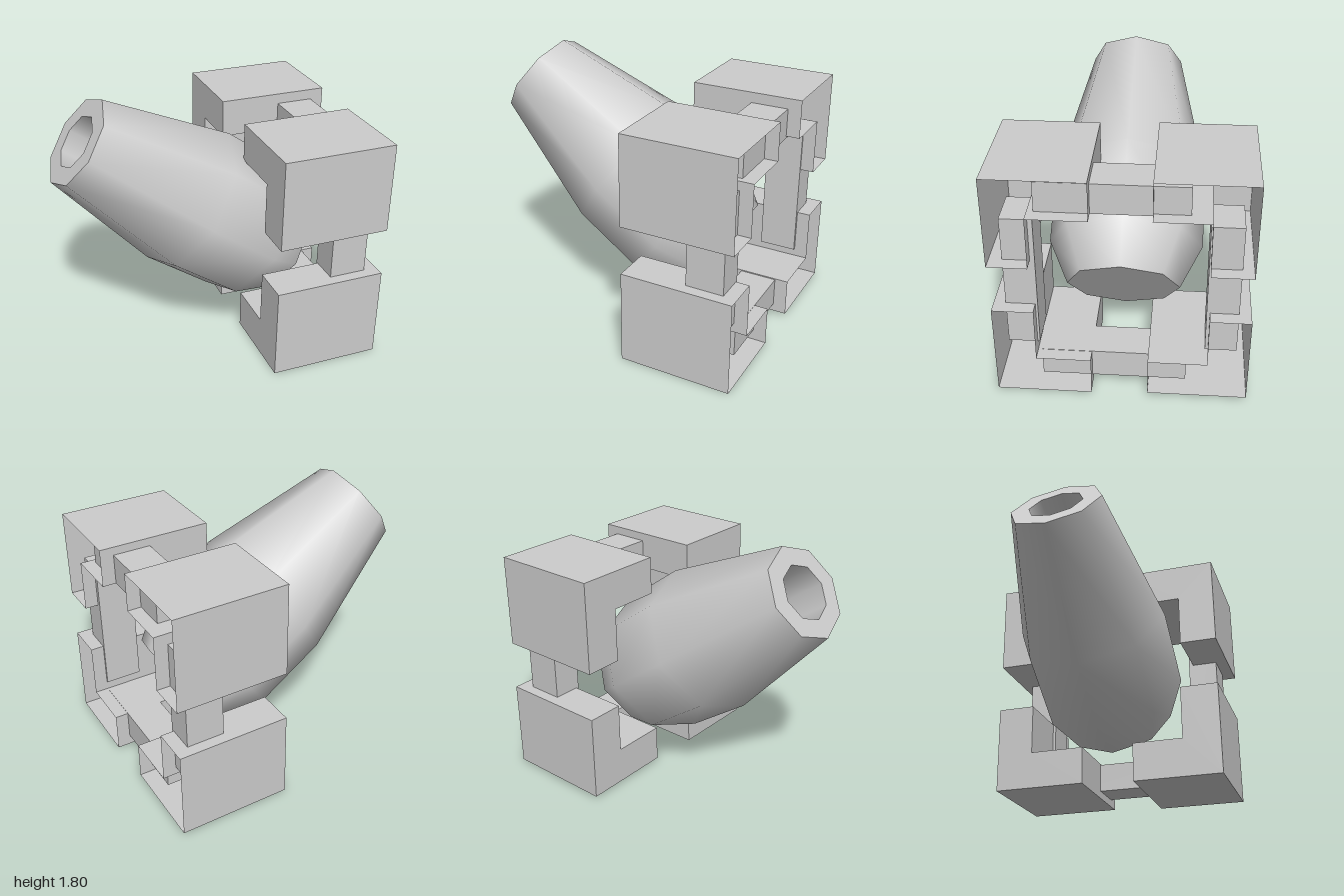
import * as THREE from 'three';

const material = new THREE.MeshStandardMaterial({ color: 0xcccccc, side: THREE.DoubleSide });

function addMesh(parent, name, geometry) {
  const mesh = new THREE.Mesh(geometry, material);
  mesh.name = name;
  parent.add(mesh);
  return mesh;
}

// Eight-sided surface turned round the barrel axis from [radius, height] pairs
function turned(points) {
  return new THREE.LatheGeometry(points.map(([r, h]) => new THREE.Vector2(r, h)), 8);
}

// L-shaped shell running along x, closed at x = 0.25 and open at x = 1
function cornerGeometry({ z, y }) {
  const [zOuter, zArm, zTip] = z;
  const [yOuter, yArm, yTip] = y;
  const outline = [
    [zOuter, yOuter], [zTip, yOuter], [zTip, yArm],
    [zArm, yArm], [zArm, yTip], [zOuter, yTip],
  ];
  const shape = new THREE.Shape(outline.map(([pz, py]) => new THREE.Vector2(-pz, py)));
  const solid = new THREE.ExtrudeGeometry(shape, { depth: 0.75, bevelEnabled: false });

  // Drop the second lid: four triangles, directly after the first lid
  const shell = new THREE.BufferGeometry();
  for (const key of ['position', 'normal']) {
    const values = Array.from(solid.attributes[key].array);
    values.splice(36, 36);
    shell.setAttribute(key, new THREE.Float32BufferAttribute(values, 3));
  }
  return shell.rotateY(Math.PI / 2).translate(0.25, 0, 0);
}

export function createModel() {
  const model = new THREE.Group();
  model.name = 'mortar';

  // Barrel: tilted, swelling body with a flat breech and a hollow muzzle
  const barrel = new THREE.Group();
  barrel.name = 'barrel';
  barrel.position.set(-0.085, 1.02, 0.015);
  barrel.rotation.z = 0.953;
  model.add(barrel);
  addMesh(barrel, 'barrelBody', turned([[0.37, -0.81], [0.51, -0.525], [0.513, 0], [0.312, 0.9]]));
  addMesh(barrel, 'breechPlate', turned([[0, -0.81], [0.37, -0.81]]));
  addMesh(barrel, 'muzzleRim', turned([[0.312, 0.9], [0.185, 0.9]]));
  addMesh(barrel, 'boreWall', turned([[0.185, 0.9], [0.185, 0.1]]));
  addMesh(barrel, 'boreFloor', turned([[0.185, 0.1], [0, 0.1]]));

  // Corner brackets: outer edge, inner edge of the arm, tip of the arm
  const corners = {
    upperFrontCorner: { z: [0.8, 0.55, 0.18], y: [1.565, 1.31, 0.96] },
    upperBackCorner: { z: [-0.795, -0.535, -0.19], y: [1.58, 1.325, 0.955] },
    lowerFrontCorner: { z: [0.795, 0.535, 0.19], y: [0, 0.265, 0.63] },
    lowerBackCorner: { z: [-0.8, -0.545, -0.17], y: [0.02, 0.275, 0.62] },
  };
  for (const [name, corner] of Object.entries(corners)) {
    addMesh(model, name, cornerGeometry(corner));
  }

  // Bars joining the corners: [height, length in z, centre y, centre z]
  const bars = {
    topBar: [0.2, 0.92, 1.41, 0.05],
    bottomBar: [0.195, 0.92, 0.17, 0.05],
    frontBar: [0.92, 0.2, 0.79, 0.62],
    backBar: [0.92, 0.2, 0.79, -0.625],
  };
  for (const [name, [height, length, y, z]] of Object.entries(bars)) {
    addMesh(model, name, new THREE.BoxGeometry(0.25, height, length)).position.set(0.785, y, z);
  }

  return model;
}
